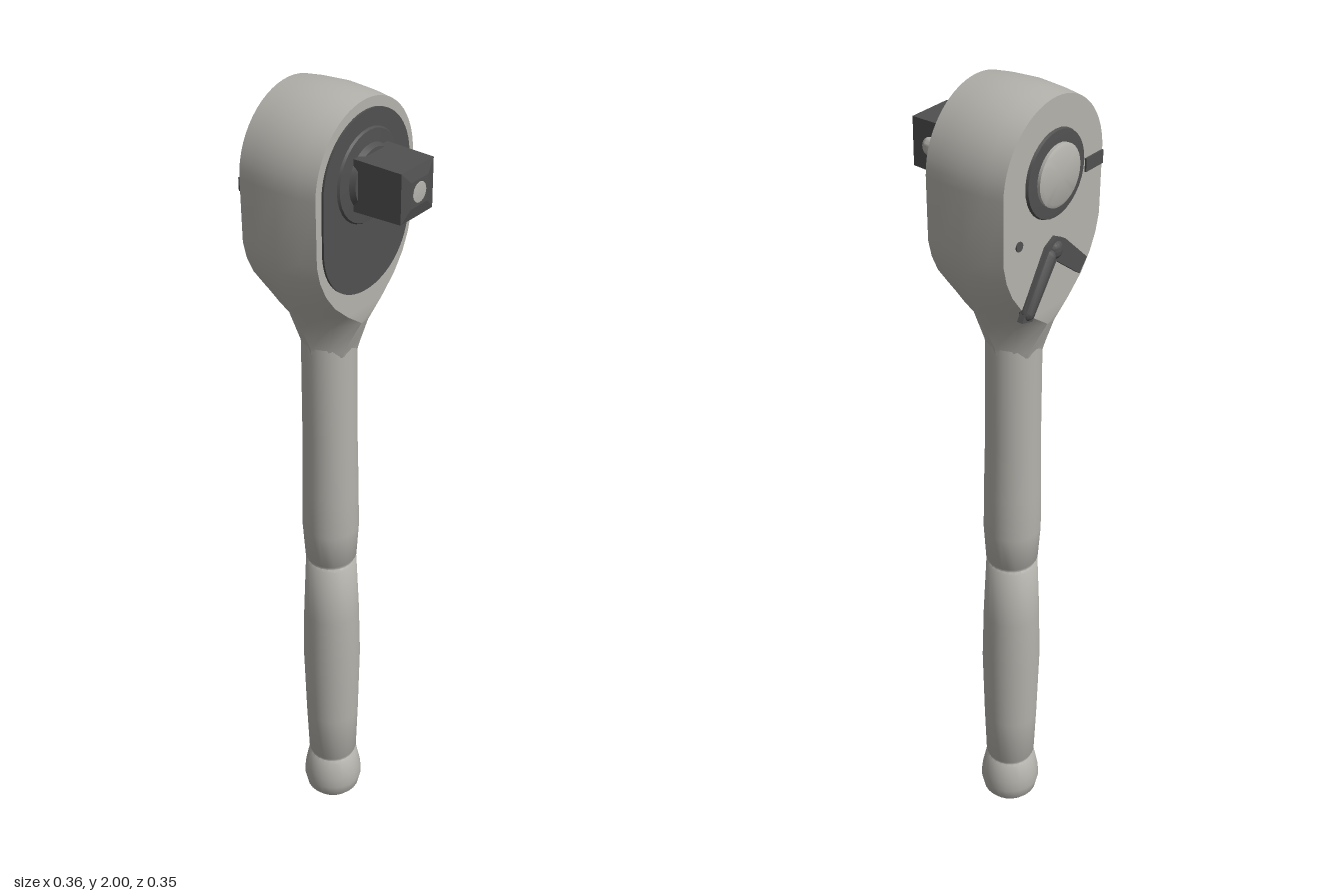
import * as THREE from 'three';
import { toCreasedNormals } from 'three/addons/utils/BufferGeometryUtils.js';

const CX = -0.06; // axis of handle and head
const HY = 1.828; // height of the drive axis

export function createModel() {
  const group = new THREE.Group();
  const steel = new THREE.MeshStandardMaterial({ color: 0xb4b2ac });
  steel.name = 'satin steel';
  const dark = new THREE.MeshStandardMaterial({ color: 0x505050 });
  dark.name = 'dark steel';

  const add = (name, geo, mat, x = 0, y = 0, z = 0, crease = 0.6) => {
    const mesh = new THREE.Mesh(toCreasedNormals(geo, crease), mat);
    mesh.name = name;
    mesh.position.set(x, y, z);
    group.add(mesh);
    return mesh;
  };
  // Solid of revolution along +x (dir 1) or -x (dir -1), profile of [radius, distance]
  const turned = (profile, dir, sides = 32) =>
    new THREE.LatheGeometry(profile.map(p => new THREE.Vector2(...p)), sides).rotateZ(-dir * Math.PI / 2);
  // Flat shape raised towards +x or -x
  const raised = (shape, depth, dir) =>
    new THREE.ExtrudeGeometry(shape, { depth, bevelEnabled: false, curveSegments: 16 }).rotateY(dir * Math.PI / 2);

  // Handle with end knob and two grooves
  const handle = [[0, 0], [0.06, 0], [0.07, 0.012], [0.077, 0.045], [0.074, 0.075], [0.064, 0.125],
    [0.059, 0.13], [0.059, 0.136], [0.063, 0.142], [0.068, 0.28], [0.073, 0.48], [0.07, 0.62], [0.063, 0.782],
    [0.058, 0.787], [0.058, 0.793], [0.063, 0.799], [0.069, 0.89], [0.068, 1.0], [0.065, 1.15], [0.064, 1.41]];
  add('handle', new THREE.LatheGeometry(handle.map(p => new THREE.Vector2(...p)), 24), steel, CX, 0, 0, 0.8);

  // Head: rings stacked from neck to crown
  // [face height, face half width, middle height, middle half width, half depth]
  const rows = [[1.39, 0.027, 1.39, 0.064, 0.06], [1.41, 0.027, 1.41, 0.067, 0.066],
    [1.485, 0.012, 1.48, 0.102, 0.1], [1.52, 0.06, 1.52, 0.121, 0.1], [1.56, 0.105, 1.56, 0.14, 0.1],
    [1.6, 0.135, 1.6, 0.157, 0.1], [1.64, 0.154, 1.64, 0.17, 0.1], [1.68, 0.164, 1.68, 0.175, 0.1]];
  const steps = 14;
  for (let i = 0; i <= steps; i++) {
    const a = (i / steps) * Math.PI / 2, c = Math.cos(a), s = Math.sin(a);
    rows.push([1.825 + 0.166 * s, 0.166 * c, 1.825 + 0.175 * s, 0.175 * c, 0.1]);
  }
  const pos = [], index = [];
  for (const [yf, f, ym, w, d] of rows) {
    const m = f + (w - f) * 0.6, y = yf + (ym - yf) * 0.6;
    pos.push(d, yf, f, d, yf, -f, 0.6 * d, y, -m, 0, ym, -w, -0.6 * d, y, -m,
      -d, yf, -f, -d, yf, f, -0.6 * d, y, m, 0, ym, w, 0.6 * d, y, m);
  }
  for (let r = 0; r < rows.length - 1; r++) {
    for (let k = 0; k < 10; k++) {
      const a = r * 10 + k, b = r * 10 + (k + 1) % 10;
      index.push(a, b, b + 10, a, b + 10, a + 10);
    }
  }
  const head = new THREE.BufferGeometry();
  head.setAttribute('position', new THREE.Float32BufferAttribute(pos, 3));
  head.setIndex(index);
  add('head', head, steel, CX);

  // Oval cover plate on the drive side
  const oval = new THREE.Shape();
  oval.moveTo(0.147, 1.7);
  oval.lineTo(0.147, 1.822);
  oval.absarc(0, 1.822, 0.147, 0, Math.PI, false);
  oval.lineTo(-0.147, 1.7);
  oval.bezierCurveTo(-0.143, 1.62, -0.08, 1.565, 0, 1.565);
  oval.bezierCurveTo(0.08, 1.565, 0.143, 1.62, 0.147, 1.7);
  add('coverPlate', raised(oval, 0.006, 1), dark, 0.039);

  // Collar and square drive with its tip, end pin and detent ball
  add('driveCollar', turned([[0.105, 0], [0.1, 0.008], [0.072, 0.01], [0.066, 0.022], [0, 0.022]], 1), dark, 0.042, HY);
  const r = 0.0575 * Math.SQRT2;
  const square = new THREE.CylinderGeometry(r * 0.96, r, 0.118, 4).rotateY(Math.PI / 4).rotateZ(-Math.PI / 2);
  add('squareDrive', square, dark, 0.111, HY);
  const tip = new THREE.CylinderGeometry(r * 0.5, r * 0.96, 0.006, 4).rotateY(Math.PI / 4).rotateZ(-Math.PI / 2);
  add('driveTip', tip, dark, 0.173, HY, 0, 0.05);
  add('drivePin', turned([[0.025, 0], [0.022, 0.006], [0, 0.008]], 1, 20), steel, 0.171, HY);
  add('detentBall', new THREE.SphereGeometry(0.022, 16, 12).scale(1, 1, 0.7), steel, 0.12, HY, -0.055);

  // Release button inside a dark ring on the other side
  add('buttonRing', turned([[0.097, 0], [0.094, 0.008], [0.07, 0.01], [0, 0.01]], -1), dark, -0.158, HY);
  add('releaseButton', turned([[0.068, 0], [0.068, 0.016], [0.06, 0.02], [0, 0.021]], -1), steel, -0.159, HY);

  // Reversing lever: chevron base with a grip along one arm
  const chevron = new THREE.Shape([[-0.115, 1.535], [-0.08, 1.525], [0, 1.635], [0.085, 1.57], [0.11, 1.6],
    [0.03, 1.675], [0, 1.69], [-0.03, 1.675]].map(p => new THREE.Vector2(...p)));
  add('reversingLever', raised(chevron, 0.014, -1), dark, -0.157);
  const grip = new THREE.CapsuleGeometry(0.017, 0.125, 6, 12).rotateX(0.58);
  add('leverGrip', grip, dark, -0.164, 1.6, -0.055);
  const knob = new THREE.SphereGeometry(0.022, 12, 8).scale(0.8, 1, 1);
  add('leverPivot', knob, dark, -0.164, 1.66, 0);

  // Direction marks on the lever side
  add('edgeMark', new THREE.BoxGeometry(0.006, 0.03, 0.06), dark, -0.161, 1.81, 0.135);
  add('dotMark', turned([[0.011, 0], [0.011, 0.004], [0, 0.004]], -1, 12), dark, -0.159, 1.71, -0.115);

  return group;
}
